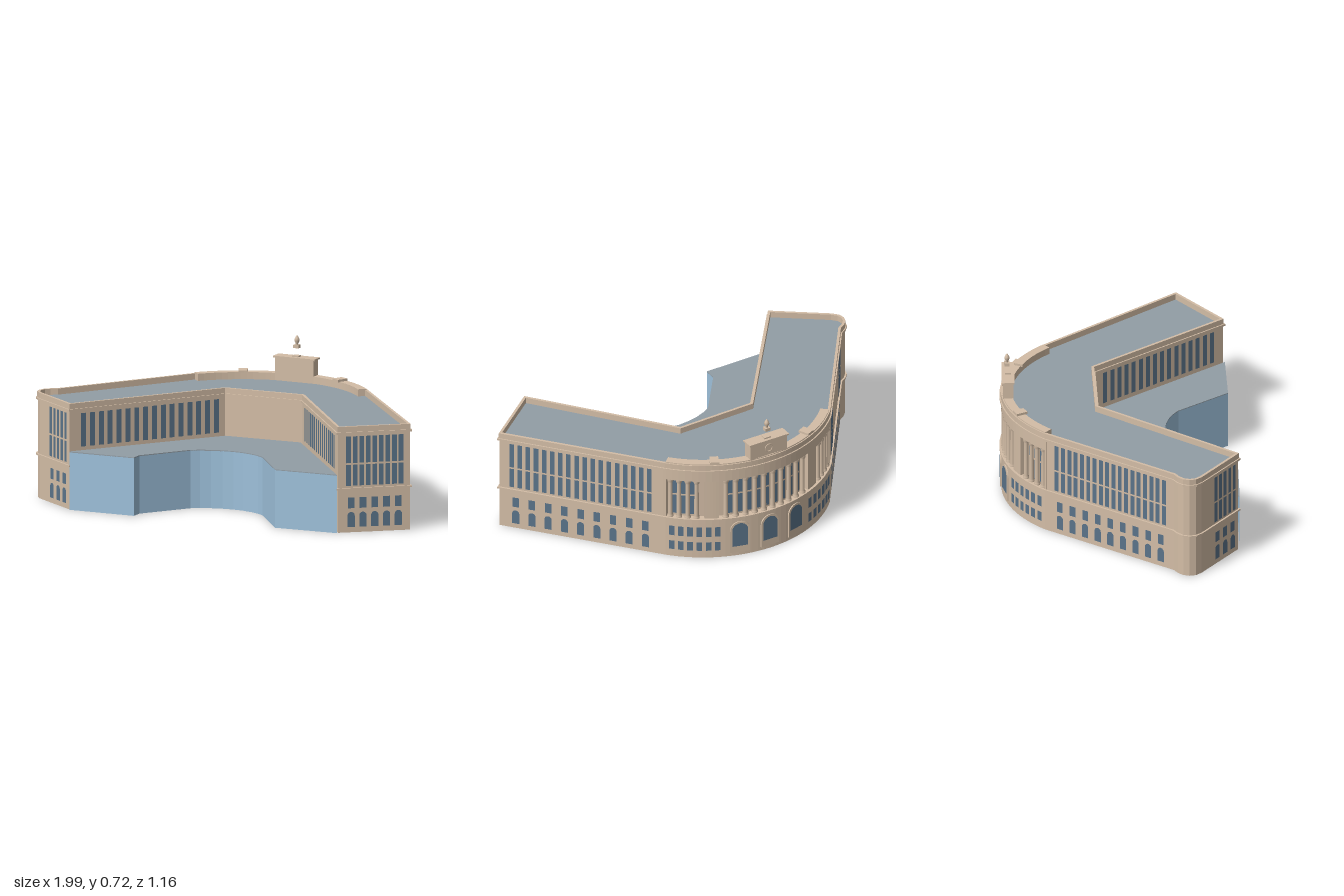
import * as THREE from 'three';
import { mergeGeometries } from 'three/addons/utils/BufferGeometryUtils.js';

const mat = (name, color, side = THREE.DoubleSide) => {
  const m = new THREE.MeshStandardMaterial({ color, side });
  m.name = name;
  return m;
};

// Centre and outer radius of the curved facade
const CX = -0.03, CZ = 0.049, R = 0.634, END = 48;
const polar = (r, deg) => {
  const a = THREE.MathUtils.degToRad(deg);
  return [CX + r * Math.sin(a), CZ - r * Math.cos(a)];
};
const arc = (r, from, to, n = 32) =>
  Array.from({ length: n + 1 }, (_, i) => polar(r, from + (to - from) * i / n));

// Parallel copy of a closed plan path, positive is outward
function offset(path, d) {
  const n = path.length;
  const normal = (a, b) => {
    const x = b[0] - a[0], z = b[1] - a[1], l = Math.hypot(x, z);
    return [-z / l, x / l];
  };
  return path.map((p, i) => {
    const u = normal(path[(i + n - 1) % n], p), v = normal(p, path[(i + 1) % n]);
    const k = d / (1 + u[0] * v[0] + u[1] * v[1]);
    return [p[0] + (u[0] + v[0]) * k, p[1] + (u[1] + v[1]) * k];
  });
}

const vec = ([x, z]) => new THREE.Vector2(x, -z);

// Solid with a plan outline, standing from y0 to y1
function prism(path, y0, y1, hole) {
  const s = new THREE.Shape(path.map(vec));
  if (hole) s.holes.push(new THREE.Path(hole.map(vec)));
  return new THREE.ExtrudeGeometry(s, { depth: y1 - y0, bevelEnabled: false }).rotateX(-Math.PI / 2).translate(0, y0, 0);
}
const flat = (path, y) => new THREE.ShapeGeometry(new THREE.Shape(path.map(vec))).rotateX(-Math.PI / 2).translate(0, y, 0);
const arcSolid = (r0, r1, a0, a1, y0, y1, n = 32) =>
  prism([...arc(r1, a1, a0, n), ...arc(r0, a0, a1, n)], y0, y1);

// Thin wall along an open plan path
function wall(path, y0, y1) {
  const pos = [];
  for (let i = 0; i + 1 < path.length; i++) {
    const [ax, az] = path[i], [bx, bz] = path[i + 1];
    pos.push(ax, y0, az, bx, y0, bz, bx, y1, bz, ax, y0, az, bx, y1, bz, ax, y1, az);
  }
  const g = new THREE.BufferGeometry();
  g.setAttribute('position', new THREE.Float32BufferAttribute(pos, 3));
  g.computeVertexNormals();
  return g;
}

// Upright opening shape, square or round-headed
function opening(w, y0, y1, arched) {
  const s = new THREE.Shape();
  s.moveTo(-w / 2, y0);
  s.lineTo(w / 2, y0);
  if (arched) s.absarc(0, y1 - w / 2, w / 2, 0, Math.PI);
  else {
    s.lineTo(w / 2, y1);
    s.lineTo(-w / 2, y1);
  }
  s.closePath();
  return s;
}

export function createModel() {
  const group = new THREE.Group();
  const stone = mat('stone', 0xd3bda6), roofGrey = mat('roof grey', 0x929da5);
  const glass = mat('pale glass', 0x9dc0da), pane = mat('window blue', 0x5a7389);
  const add = (name, geo, material) => {
    const m = new THREE.Mesh(geo, material);
    m.name = name;
    group.add(m);
    return m;
  };

  // Plan: inner court, left wing end, curved facade, right wing end with round corner
  const outline = [
    [-0.71, 0.575], [-0.2, -0.105], [0.2, -0.118], [0.7, 0.516], [0.992, 0.28],
    ...arc(R, END, -END),
    [-0.935, 0.243], [-0.965, 0.262], [-0.99, 0.29], [-1, 0.325], [-0.992, 0.36], [-0.965, 0.39],
  ];
  const body = offset(outline, -0.009);
  const nArc = 33, first = 5, last = first + nArc - 1;
  const RB = R - 0.009, RW = 0.597;

  // Walls: full ring below, recessed curve above
  add('lowerWall', wall([...body, body[0]], 0, 0.215), stone);
  add('upperWingWall', wall([...body.slice(last), ...body.slice(0, first + 1)], 0.215, 0.49), stone);
  add('recessedWall', wall(arc(RW, END, -END), 0.215, 0.49), stone);
  add('colonnadeLedge', arcSolid(RW - 0.005, RB, -END, END, 0.208, 0.218), stone);
  add('entablature', arcSolid(RW, RB, -END, END, 0.43, 0.49), stone);
  for (const s of [-1, 1]) {
    const ends = (a, b) => s > 0 ? [a, b] : [-b, -a];
    add('pier', arcSolid(RW, RB - 0.004, ...ends(24, 30.5), 0.215, 0.43, 5), stone);
    add('endPier', arcSolid(RW, RB, ...ends(47.6, 49), 0.215, 0.49, 2), stone);
    add('parapetBlock', arcSolid(0.567, 0.624, ...ends(23.7, 28), 0.525, 0.538, 3), stone);
  }

  // Mouldings, parapet and roof
  const ring = (name, outer, inner, y0, y1) =>
    add(name, prism(offset(outline, outer), y0, y1, offset(outline, inner)), stone);
  ring('stringCourse', 0, -0.012, 0.211, 0.219);
  ring('cornice', 0, -0.012, 0.485, 0.495);
  ring('parapet', -0.006, -0.019, 0.49, 0.522);
  add('curvedParapet', arcSolid(0.578, 0.622, -END, END, 0.49, 0.527), stone);
  add('roof', flat(body, 0.492), roofGrey);

  // Glazed court pavilion
  const front = [
    [-0.71, 0.57], [-0.365, 0.565], [-0.365, 0.505], [-0.2, 0.28], [-0.16, 0.255], [-0.11, 0.235],
    [-0.055, 0.222], [0, 0.217], [0.055, 0.222], [0.11, 0.237], [0.15, 0.255], [0.19, 0.283],
    [0.375, 0.525], [0.7, 0.513],
  ];
  add('pavilionGlass', wall(front, 0, 0.284), glass);
  add('pavilionRoof', prism([...front, [0.2, -0.115], [-0.2, -0.102]].reverse(), 0.283, 0.288), roofGrey);

  // Windows
  const panes = [];
  const put = (geo, x, z, nx, nz, out = 0.003) =>
    geo.rotateY(Math.atan2(nx, nz)).translate(x + nx * out, 0, z + nz * out);
  const onArc = (r, deg, geo, out) => {
    const [x, z] = polar(r, deg);
    return put(geo, x, z, (x - CX) / r, (z - CZ) / r, out);
  };
  const row = (a, b, t0, t1, n, w, y0, y1, arched) => {
    const dx = b[0] - a[0], dz = b[1] - a[1], l = Math.hypot(dx, dz);
    for (let i = 0; i < n; i++) {
      const t = t0 + (t1 - t0) * (i + 0.5) / n;
      panes.push(put(new THREE.ShapeGeometry(opening(w, y0, y1, arched), 6),
        a[0] + dx * t, a[1] + dz * t, -dz / l, dx / l));
    }
  };
  const facade = (a, b, t0, t1, nLow, nHigh) => {
    row(a, b, t0, t1, nLow, 0.033, 0.119, 0.172);
    row(a, b, t0, t1, nLow, 0.036, 0.026, 0.1, true);
    row(a, b, t0, t1, nHigh, 0.023, 0.23, 0.333);
    row(a, b, t0, t1, nHigh, 0.023, 0.342, 0.473);
  };
  const tail = body.length - 1;
  facade(body[4], body[first], 0.05, 0.93, 9, 18);
  facade(body[last], body[last + 1], 0.07, 0.95, 9, 18);
  facade(body[3], body[4], 0.1, 0.92, 5, 9);
  facade(body[tail], body[0], 0.32, 0.94, 3, 5);
  row(body[0], body[1], 0.06, 0.97, 16, 0.027, 0.305, 0.47);
  row(body[2], body[3], 0.06, 0.94, 16, 0.025, 0.305, 0.47);

  const arcPane = (r, deg, w, y0, y1, arched) =>
    panes.push(onArc(r, deg, new THREE.ShapeGeometry(opening(w, y0, y1, arched), 8), 0.003));
  for (const s of [-1, 1]) {
    for (const d of [24.5, 28.5, 32.7, 36.8, 40.9, 45]) {
      arcPane(RB, s * d, 0.028, 0.119, 0.172);
      arcPane(RB, s * d, 0.028, 0.04, 0.088);
    }
  }
  const bays = [0, 4.6, 9.2, 13.8, 18.4, 36, 40, 44].flatMap(d => d ? [d, -d] : [0]);
  for (const d of bays) {
    arcPane(RW, d, 0.025, 0.23, 0.333);
    arcPane(RW, d, 0.025, 0.342, 0.42);
  }
  // Three large arches with stone surrounds
  for (const d of [-14.5, 0, 14.5]) {
    const s = new THREE.ExtrudeGeometry(opening(0.1, 0.02, 0.192, true), { depth: 0.006, bevelEnabled: false });
    add('archSurround', onArc(RB, d, s, -0.001), stone);
    panes.push(onArc(RB, d, new THREE.ShapeGeometry(opening(0.08, 0.055, 0.183, true), 10), 0.007));
  }
  add('windows', mergeGeometries(panes), pane);

  // Columns
  const profile = [[0.015, 0.218], [0.015, 0.228], [0.0115, 0.232], [0.0105, 0.41], [0.015, 0.418], [0.015, 0.431]];
  const column = new THREE.LatheGeometry(profile.map(p => new THREE.Vector2(...p)), 12);
  for (const d of [2.3, 6.9, 11.5, 16.1, 20.7, 34, 38, 42, 46]) {
    for (const s of [-1, 1]) {
      const [x, z] = polar(0.612, s * d);
      add('column', column, stone).position.set(x, 0, z);
    }
  }

  // Central attic with medallion and finial
  const box = (name, w, h, d, y, z) =>
    add(name, new THREE.BoxGeometry(w, h, d), stone).position.set(CX, y, z);
  box('attic', 0.206, 0.118, 0.05, 0.547, -0.543);
  box('atticCap', 0.222, 0.008, 0.062, 0.609, -0.543);
  box('atticCrest', 0.035, 0.007, 0.03, 0.616, -0.543);
  add('medallion', new THREE.TorusGeometry(0.02, 0.003, 6, 20), stone).position.set(CX, 0.565, -0.568);
  box('finialBase', 0.028, 0.016, 0.026, 0.663, -0.548);
  const tip = [[0.007, 0.67], [0.006, 0.677], [0.013, 0.69], [0.011, 0.701], [0.005, 0.712], [0, 0.719]];
  add('finial', new THREE.LatheGeometry(tip.map(p => new THREE.Vector2(...p)), 12), stone).position.set(CX, 0, -0.548);

  return group;
}
